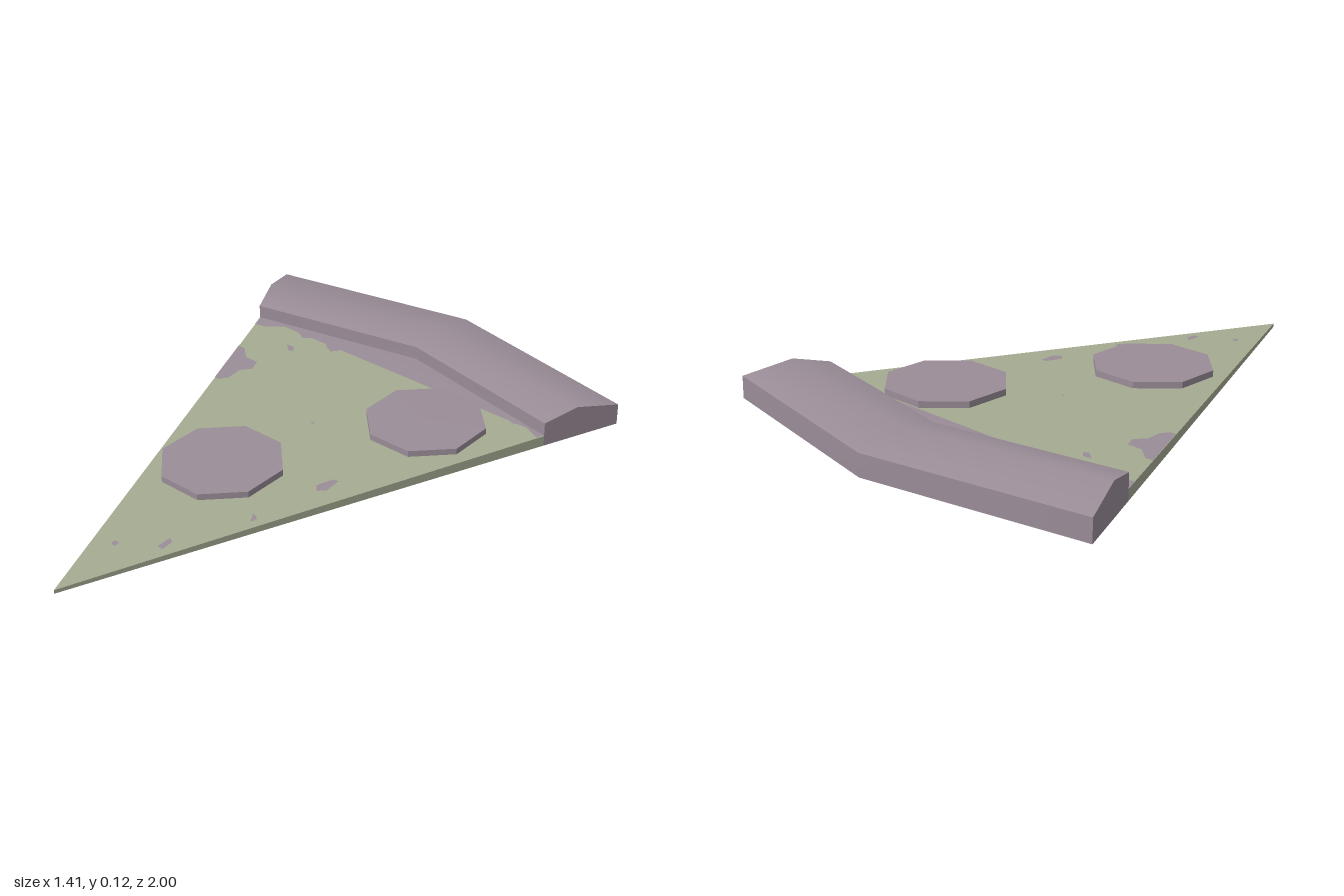
import * as THREE from 'three';
import { toCreasedNormals } from 'three/addons/utils/BufferGeometryUtils.js';

const TIP_X = -0.707, TIP_Z = 1;
const INNER = 1.703, OUTER = 2;
const TIP_H = 0.013, EDGE_H = 0.038;
const ANGLES = [0, Math.PI / 8, Math.PI / 4];

// Point at a distance and angle from the tip of the slice
const polar = (r, a, y) => [TIP_X + r * Math.sin(a), y, TIP_Z - r * Math.cos(a)];

// Geometry from convex polygons, each fanned into triangles
function fromPolygons(polygons) {
  const pos = [];
  for (const p of polygons) {
    for (let i = 1; i < p.length - 1; i++) pos.push(...p[0], ...p[i], ...p[i + 1]);
  }
  const g = new THREE.BufferGeometry();
  g.setAttribute('position', new THREE.Float32BufferAttribute(pos, 3));
  g.computeVertexNormals();
  return g;
}

// Height of the sloping cheese surface
function surfaceHeight(x, z) {
  const dx = x - TIP_X, dz = TIP_Z - z;
  const along = [Math.PI / 16, 3 * Math.PI / 16].map(a => dx * Math.sin(a) + dz * Math.cos(a));
  return TIP_H + (EDGE_H - TIP_H) * Math.max(...along) / (INNER * Math.cos(Math.PI / 16));
}

// Flat patch lying on the cheese, outlined by [x, z] points
function patchGeometry(points) {
  const shape = new THREE.Shape(points.map(([x, z]) => new THREE.Vector2(x, -z)));
  const g = new THREE.ShapeGeometry(shape).rotateX(-Math.PI / 2);
  const p = g.attributes.position;
  for (let i = 0; i < p.count; i++) p.setY(i, surfaceHeight(p.getX(i), p.getZ(i)) + 0.002);
  g.computeVertexNormals();
  return g;
}

export function createModel() {
  const group = new THREE.Group();
  const cheese = new THREE.MeshStandardMaterial({ name: 'cheese green', color: 0xa6ab92 });
  const mauve = new THREE.MeshStandardMaterial({ name: 'crust mauve', color: 0x9a8d98 });
  const add = (name, geometry, material) => {
    const mesh = new THREE.Mesh(geometry, material);
    mesh.name = name;
    group.add(mesh);
    return mesh;
  };

  // Wedge-shaped base, its underside reaching below the crust
  const low = polar(0, 0, 0), high = polar(0, 0, TIP_H);
  const [a0, a1, a2] = ANGLES;
  const base = [
    [low, polar(INNER, a2, 0), polar(INNER, a2, EDGE_H), high],
    [low, high, polar(INNER, a0, EDGE_H), polar(INNER, a0, 0)],
  ];
  for (const [a, b] of [[a0, a1], [a1, a2]]) {
    base.push([high, polar(INNER, b, EDGE_H), polar(INNER, a, EDGE_H)]);
    base.push([low, polar(OUTER, a, 0), polar(OUTER, b, 0)]);
  }
  add('cheeseBase', fromPolygons(base), cheese);

  // Raised crust: a profile swept round two bends
  const profile = [[INNER, 0], [INNER, 0.088], [1.831, 0.115], [OUTER, 0.077], [OUTER, 0]];
  const ring = a => profile.map(([r, y]) => polar(r, a, y));
  const crust = [ring(a0), ring(a2).reverse()];
  for (const [a, b] of [[a0, a1], [a1, a2]]) {
    const A = ring(a), B = ring(b);
    for (let i = 0; i < profile.length - 1; i++) crust.push([A[i], B[i], B[i + 1], A[i + 1]]);
  }
  add('crust', toCreasedNormals(fromPolygons(crust), 0.5), mauve);

  // Octagonal topping slices
  for (const [x, z] of [[0.098, -0.157], [-0.466, 0.275]]) {
    const g = toCreasedNormals(new THREE.CylinderGeometry(0.21, 0.21, 0.022, 8), 0.5);
    add('toppingSlice', g, mauve).position.set(x, 0.051, z);
  }

  // Sauce showing along the crust
  add('sauceEdge', patchGeometry([
    [-0.707, -0.707], [-0.707, -0.65], [-0.66, -0.64], [-0.6, -0.66], [-0.55, -0.66], [-0.5, -0.6],
    [-0.43, -0.62], [-0.36, -0.64], [-0.28, -0.6], [-0.2, -0.61], [-0.2, -0.53], [-0.15, -0.52],
    [-0.1, -0.55], [0, -0.52], [0.04, -0.52], [0.1, -0.465], [0.2, -0.4], [0.29, -0.34],
    [0.31, -0.3], [0.38, -0.25], [0.42, -0.245], [0.476, -0.185], [0.497, -0.207], [-0.055, -0.573],
  ]), mauve);

  // Scattered sauce spots
  const spots = [
    [[-0.707, -0.48], [-0.68, -0.47], [-0.65, -0.41], [-0.6, -0.39], [-0.6, -0.34], [-0.64, -0.32],
      [-0.66, -0.26], [-0.69, -0.24], [-0.707, -0.25]],
    [[-0.54, -0.54], [-0.51, -0.53], [-0.5, -0.5], [-0.52, -0.5]],
    [[-0.4, -0.6], [-0.35, -0.59], [-0.34, -0.55], [-0.37, -0.535], [-0.4, -0.57]],
    [[-0.1, 0.235], [-0.08, 0.24], [-0.1, 0.3], [-0.13, 0.31], [-0.14, 0.28]],
    [[-0.28, 0.48], [-0.26, 0.5], [-0.265, 0.52], [-0.275, 0.52]],
    [[-0.48, 0.67], [-0.465, 0.69], [-0.48, 0.73], [-0.5, 0.72]],
    [[-0.64, 0.73], [-0.62, 0.735], [-0.625, 0.755], [-0.64, 0.75]],
    [[-0.283, -0.067], [-0.27, -0.07], [-0.272, -0.058]],
  ];
  for (const s of spots) add('sauceSpot', patchGeometry(s), mauve);

  return group;
}
